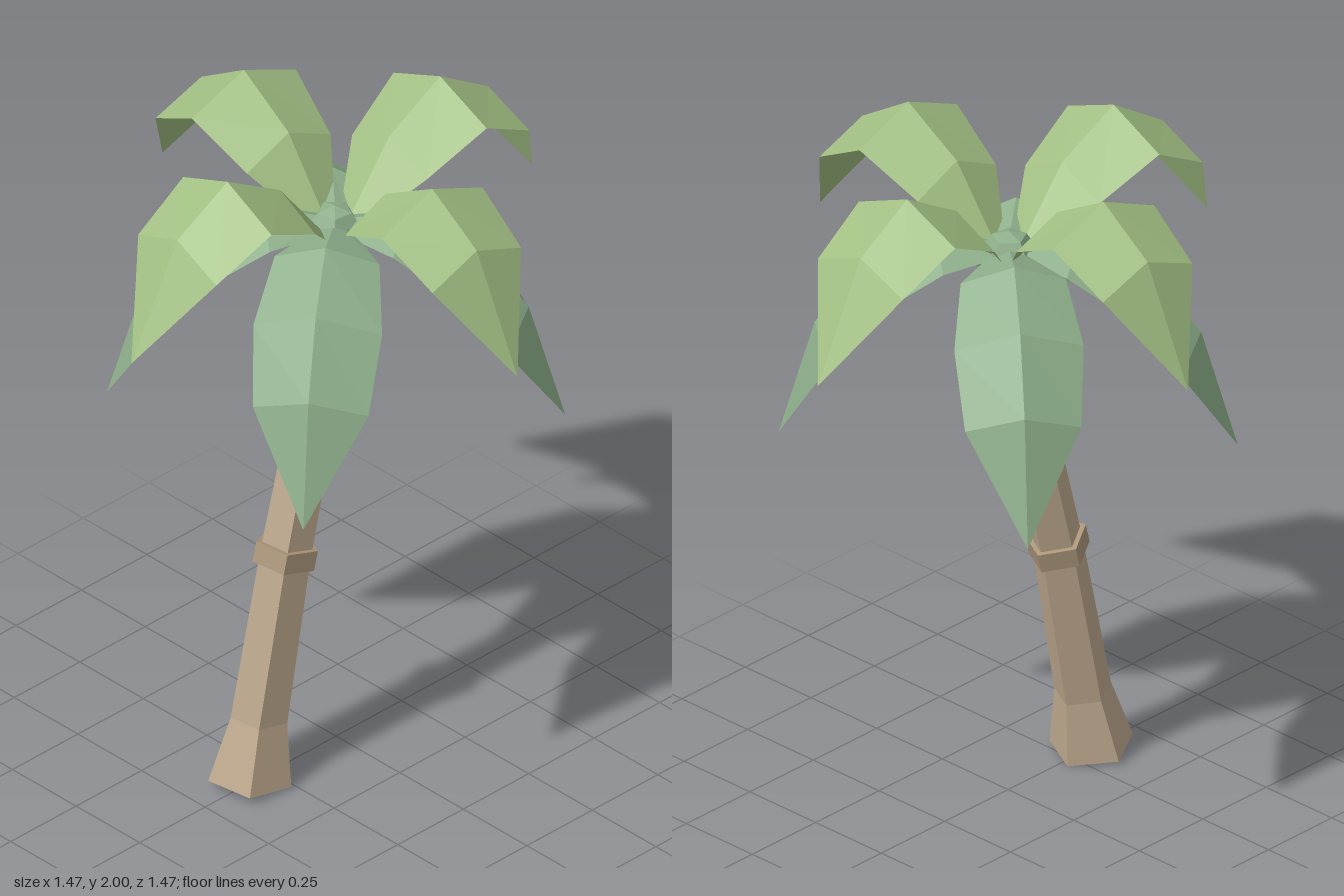
import * as THREE from 'three';

const V = (x, y, z) => new THREE.Vector3(x, y, z);
const material = (name, color, extra = {}) => {
  const m = new THREE.MeshStandardMaterial({ color, flatShading: true, ...extra });
  m.name = name;
  return m;
};

// Faceted skin over rows of points; zero-area triangles are dropped.
function skin(rows, closed) {
  const pos = [];
  const tri = (a, b, c) => {
    if (b.clone().sub(a).cross(c.clone().sub(a)).length() < 1e-7) return;
    for (const p of [a, b, c]) pos.push(p.x, p.y, p.z);
  };
  for (let i = 0; i < rows.length - 1; i++) {
    const n = rows[i].length;
    for (let j = 0; j < (closed ? n : n - 1); j++) {
      const k = (j + 1) % n;
      const a = rows[i][j], b = rows[i][k], c = rows[i + 1][k], d = rows[i + 1][j];
      tri(a, d, c);
      tri(a, c, b);
    }
  }
  const g = new THREE.BufferGeometry();
  g.setAttribute('position', new THREE.Float32BufferAttribute(pos, 3));
  g.computeVertexNormals();
  return g;
}

// Five-sided section, tilted with the lean of the trunk.
function section(x, y, r, tilt) {
  return Array.from({ length: 5 }, (_, i) => {
    const a = THREE.MathUtils.degToRad(-10 + i * 72);
    const u = r * Math.cos(a);
    return V(x + u * Math.cos(tilt), y - u * Math.sin(tilt), -0.005 + r * Math.sin(a));
  });
}

// Capped solid from sections [x, y, radius, tilt].
function pillar(list) {
  const cap = ([x, y, , t]) => section(x, y, 0, t);
  return skin([cap(list[0]), ...list.map((s) => section(...s)), cap(list[list.length - 1])], true);
}

// Leaf with a raised midrib; stations are [reach, height, halfWidth, edgeInset, edgeDrop].
function frond(stations, degrees) {
  const a = THREE.MathUtils.degToRad(degrees);
  const at = (r, y, s) => V(r * Math.cos(a) - s * Math.sin(a), y, r * Math.sin(a) + s * Math.cos(a));
  return skin(stations.map(([r, y, w, inset, drop]) => [
    at(r - inset, y - drop, w), at(r, y, 0), at(r - inset, y - drop, -w),
  ]), false);
}

export function createModel() {
  const model = new THREE.Group();
  model.name = 'palmTree';
  const bark = material('bark', 0xbda88d);
  const barkRing = material('bark ring', 0xac977c);
  const leafLight = material('light leaf', 0xa3c084, { side: THREE.DoubleSide });
  const leafDark = material('dark leaf', 0x8fb08c, { side: THREE.DoubleSide });
  const shell = material('nut shell', 0xb3aca8);

  const add = (name, geometry, mat) => {
    const m = new THREE.Mesh(geometry, mat);
    m.name = name;
    model.add(m);
    return m;
  };

  // Leaning trunk with flared foot
  add('trunk', pillar([
    [-0.325, 0.015, 0.12, 0.12],
    [-0.29, 0.2, 0.082, 0.16],
    [-0.19, 0.69, 0.074, 0.24],
    [-0.073, 1.16, 0.068, 0.22],
    [-0.008, 1.6, 0.062, 0.12],
    [0, 1.68, 0.058, 0.05],
  ]), bark);

  // Bark rings
  for (const [x, y, r] of [[-0.19, 0.695, 0.09], [-0.073, 1.16, 0.082]]) {
    const t = 0.25, h = 0.03;
    const dx = h * Math.sin(t), dy = h * Math.cos(t);
    add('trunkRing', pillar([[x - dx, y - dy, r, t], [x + dx, y + dy, r, t]]), barkRing);
  }

  // Crown bud
  add('crownBud', pillar([
    [0, 1.62, 0.055, 0], [0, 1.7, 0.072, 0], [0, 1.735, 0.05, 0], [0, 1.75, 0.001, 0],
  ]), leafDark);

  // Upper fronds arch up and out
  const upper = [
    [0.05, 1.69, 0.04, 0, 0.02],
    [0.2, 1.89, 0.15, 0, 0.07],
    [0.39, 2.0, 0.187, 0, 0.08],
    [0.57, 1.885, 0.165, 0, 0.065],
    [0.735, 1.55, 0, 0, 0],
  ];
  for (const d of [1.2, 91.6, 183.9, 273.9]) add('upperFrond', frond(upper, d), leafLight);

  // Lower fronds droop between them
  const lower = [
    [0.02, 1.71, 0.04, 0.01, 0.02],
    [0.2, 1.745, 0.145, 0.03, 0.06],
    [0.39, 1.64, 0.178, 0.04, 0.065],
    [0.53, 1.45, 0.16, 0.045, 0.055],
    [0.63, 1.1, 0, 0, 0],
  ];
  for (const d of [49.2, 142.4, 229.2, 311.1]) add('lowerFrond', frond(lower, d), leafDark);

  // Nuts around the trunk top
  for (let i = 0; i < 3; i++) {
    const a = Math.PI / 2 + (i * Math.PI * 2) / 3;
    const nut = add('nut', new THREE.OctahedronGeometry(0.054), shell);
    nut.position.set(-0.005 + 0.098 * Math.cos(a), 1.543, 0.004 + 0.098 * Math.sin(a));
  }
  return model;
}
